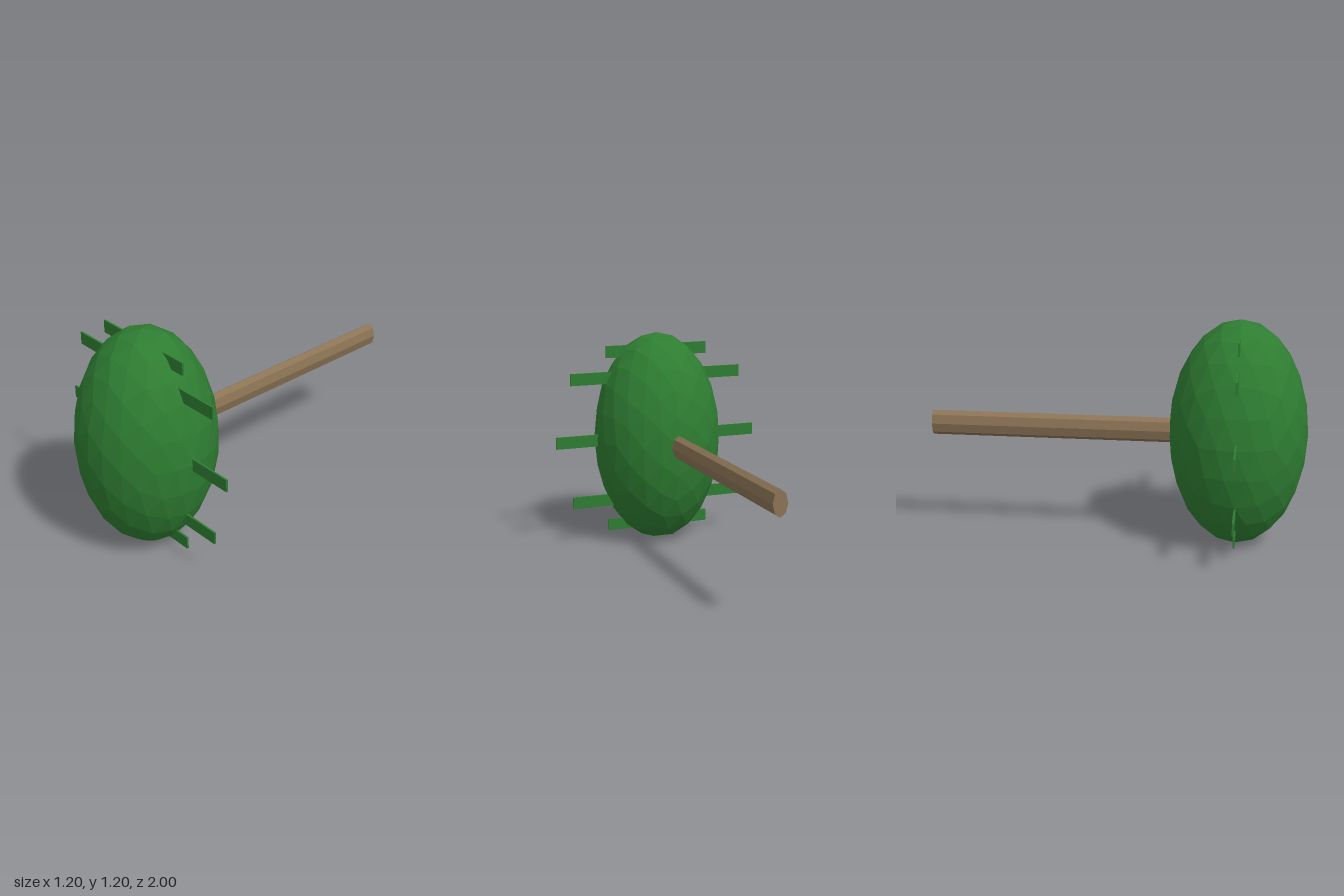
import * as THREE from 'three';

const Y = 0.602, Z = 0.636; // centre of the body

// Faceted ball: a once-divided icosahedron, each face split in four and pushed out to the sphere
function facetedBall() {
  const p = new THREE.IcosahedronGeometry(1, 1).getAttribute('position');
  const corner = (i) => new THREE.Vector3().fromBufferAttribute(p, i);
  const mid = (a, b) => a.clone().add(b).normalize();
  const points = [];
  for (let i = 0; i < p.count; i += 3) {
    const a = corner(i), b = corner(i + 1), c = corner(i + 2);
    const ab = mid(a, b), bc = mid(b, c), ca = mid(c, a);
    points.push(a, ab, ca, ab, b, bc, ca, bc, c, ab, bc, ca);
  }
  return new THREE.BufferGeometry().setFromPoints(points);
}

export function createModel() {
  const green = new THREE.MeshStandardMaterial({ color: 0x2e7d32 });
  green.name = 'leaf green';
  const brown = new THREE.MeshStandardMaterial({ color: 0x8b7355 });
  brown.name = 'stem brown';

  const model = new THREE.Group();
  model.name = 'spinyPodOnStem';
  const add = (name, geometry, material) => {
    const mesh = new THREE.Mesh(geometry, material);
    mesh.name = name;
    model.add(mesh);
    return mesh;
  };

  // Tall faceted body
  const bodyGeometry = facetedBall().scale(0.36, 0.599, 0.362);
  bodyGeometry.computeVertexNormals();
  add('body', bodyGeometry, green).position.set(0, Y, Z);

  // Eight-sided stem, taller than wide, running back from the body
  const stemGeometry = new THREE.CylinderGeometry(1, 1, Z + 1, 8).toNonIndexed();
  stemGeometry.rotateX(Math.PI / 2).scale(0.039, 0.067, 1);
  stemGeometry.computeVertexNormals();
  add('stem', stemGeometry, brown).position.set(0, Y, (Z - 1) / 2);

  // Thin flat spines passing through the body from side to side
  const spines = [[-0.5, 0.6], [-0.354, 1.02], [0, 1.2], [0.354, 1.02], [0.5, 0.6]];
  for (const [dy, length] of spines) {
    add('spine', new THREE.BoxGeometry(length, 0.067, 0.01), green).position.set(0, Y + dy, Z);
  }
  return model;
}
